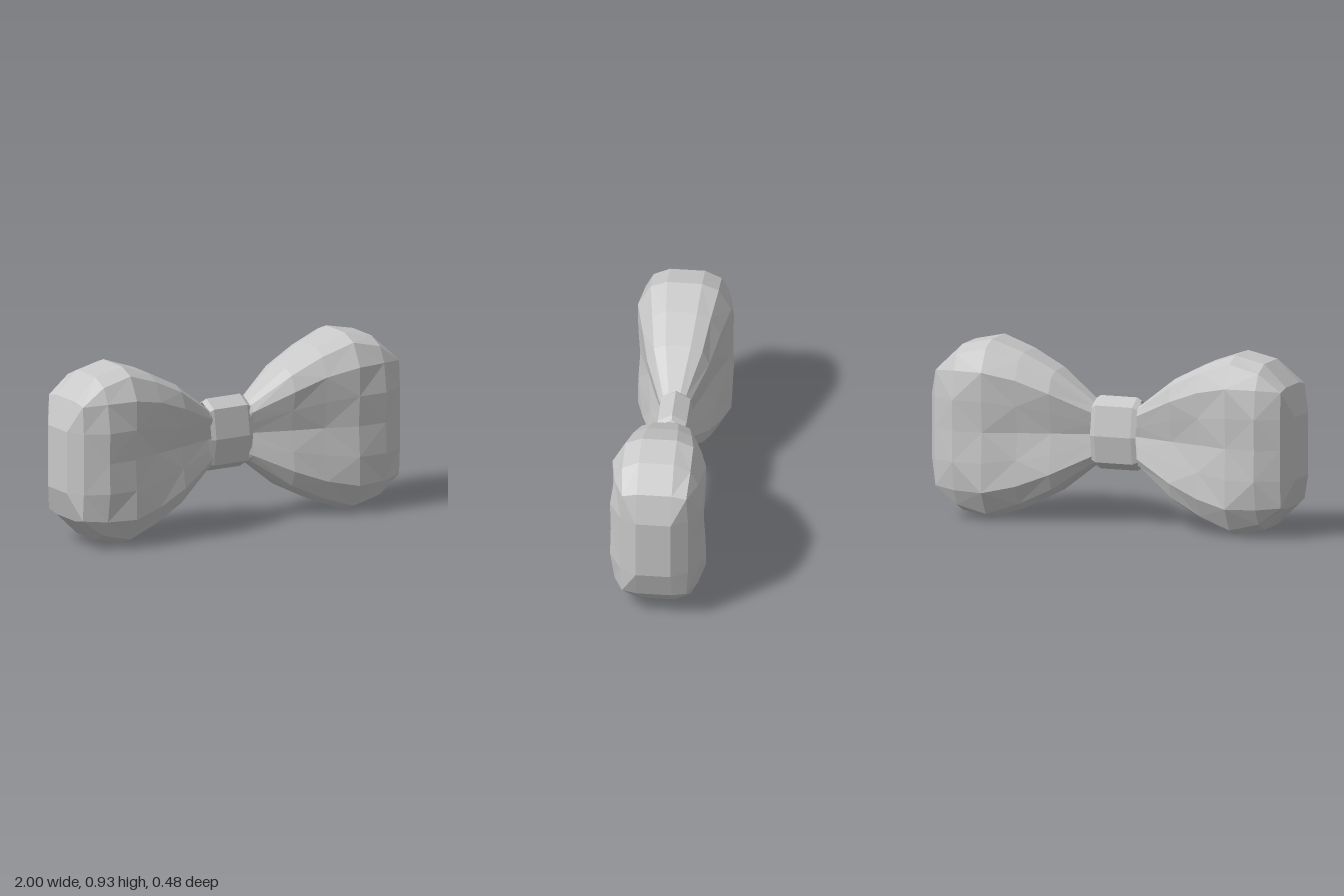
import * as THREE from 'three';

const CENTRE_Y = 0.466;

// Skin a series of closed rings that run towards +x; collapsed triangles are skipped.
function loft(rings) {
  const pos = [];
  const tri = (a, b, c) => {
    const area = b.clone().sub(a).cross(c.clone().sub(a)).length();
    if (area > 1e-6) for (const p of [a, b, c]) pos.push(p.x, p.y, p.z);
  };
  for (let i = 0; i < rings.length - 1; i++) {
    const r = rings[i], s = rings[i + 1], n = r.length;
    for (let j = 0; j < n; j++) {
      const k = (j + 1) % n;
      if ((i + j) % 2) {
        tri(r[j], r[k], s[k]);
        tri(r[j], s[k], s[j]);
      } else {
        tri(r[j], r[k], s[j]);
        tri(r[k], s[k], s[j]);
      }
    }
  }
  const geometry = new THREE.BufferGeometry();
  geometry.setAttribute('position', new THREE.Float32BufferAttribute(pos, 3));
  geometry.computeVertexNormals();
  return geometry;
}

// Full ring from one quarter outline of [z, y] points, listed from top to middle.
function wingRing(x, quarter) {
  const lower = quarter.slice(0, -1).reverse().map(([z, y]) => [z, -y]);
  const front = [...quarter, ...lower];
  const back = [...front].reverse().map(([z, y]) => [-z, y]);
  return [...front, ...back].map(([z, y]) => new THREE.Vector3(x, CENTRE_Y + y, z));
}

// Wing sections from the knot to the outer end; the middle point makes the pleat.
const WING = [
  [0.10, [[0.03, 0.15], [0.05, 0.14], [0.065, 0.10], [0.06, 0.05], [0.05, 0]]],
  [0.13, [[0.03, 0.165], [0.06, 0.15], [0.08, 0.115], [0.068, 0.055], [0.055, 0]]],
  [0.33, [[0.065, 0.318], [0.125, 0.29], [0.16, 0.21], [0.142, 0.11], [0.12, 0]]],
  [0.50, [[0.08, 0.405], [0.15, 0.372], [0.20, 0.275], [0.188, 0.14], [0.168, 0]]],
  [0.67, [[0.09, 0.465], [0.175, 0.43], [0.24, 0.312], [0.238, 0.16], [0.228, 0]]],
  [0.83, [[0.09, 0.43], [0.175, 0.39], [0.215, 0.31], [0.238, 0.16], [0.234, 0]]],
  [0.95, [[0.09, 0.315], [0.165, 0.30], [0.165, 0.30], [0.174, 0.16], [0.174, 0]]],
  [1.00, [[0.09, 0.162], [0.09, 0.162], [0.09, 0.162], [0.09, 0.162], [0.09, 0]]],
  [1.00, [[0, 0], [0, 0], [0, 0], [0, 0], [0, 0]]],
];

// Eight-sided knot outline as [z, y], ordered from the top over the front.
const KNOT = [
  [-0.01, 0.198], [0.065, 0.155], [0.09, 0], [0.065, -0.14],
  [-0.01, -0.183], [-0.085, -0.14], [-0.11, 0], [-0.085, 0.155],
];

export function createModel() {
  const group = new THREE.Group();
  const fabric = new THREE.MeshStandardMaterial({ color: 0xc8c8c8 });
  fabric.name = 'grey fabric';
  fabric.flatShading = true;
  fabric.side = THREE.DoubleSide;

  const add = (name, rings) => {
    const mesh = new THREE.Mesh(loft(rings), fabric);
    mesh.name = name;
    group.add(mesh);
  };

  // Two puffed wings
  add('leftWing', WING.map(([x, q]) => wingRing(x, q)));
  add('rightWing', WING.map(([x, q]) => wingRing(-x, q)).reverse());

  // Band around the middle, drawn in slightly at its open ends
  add('knot', [[-0.125, 0.92], [-0.1, 1], [0.1, 1], [0.125, 0.92]].map(([x, s]) =>
    KNOT.map(([z, y]) => new THREE.Vector3(x, CENTRE_Y + y * s, -0.01 + (z + 0.01) * s))));

  return group;
}
